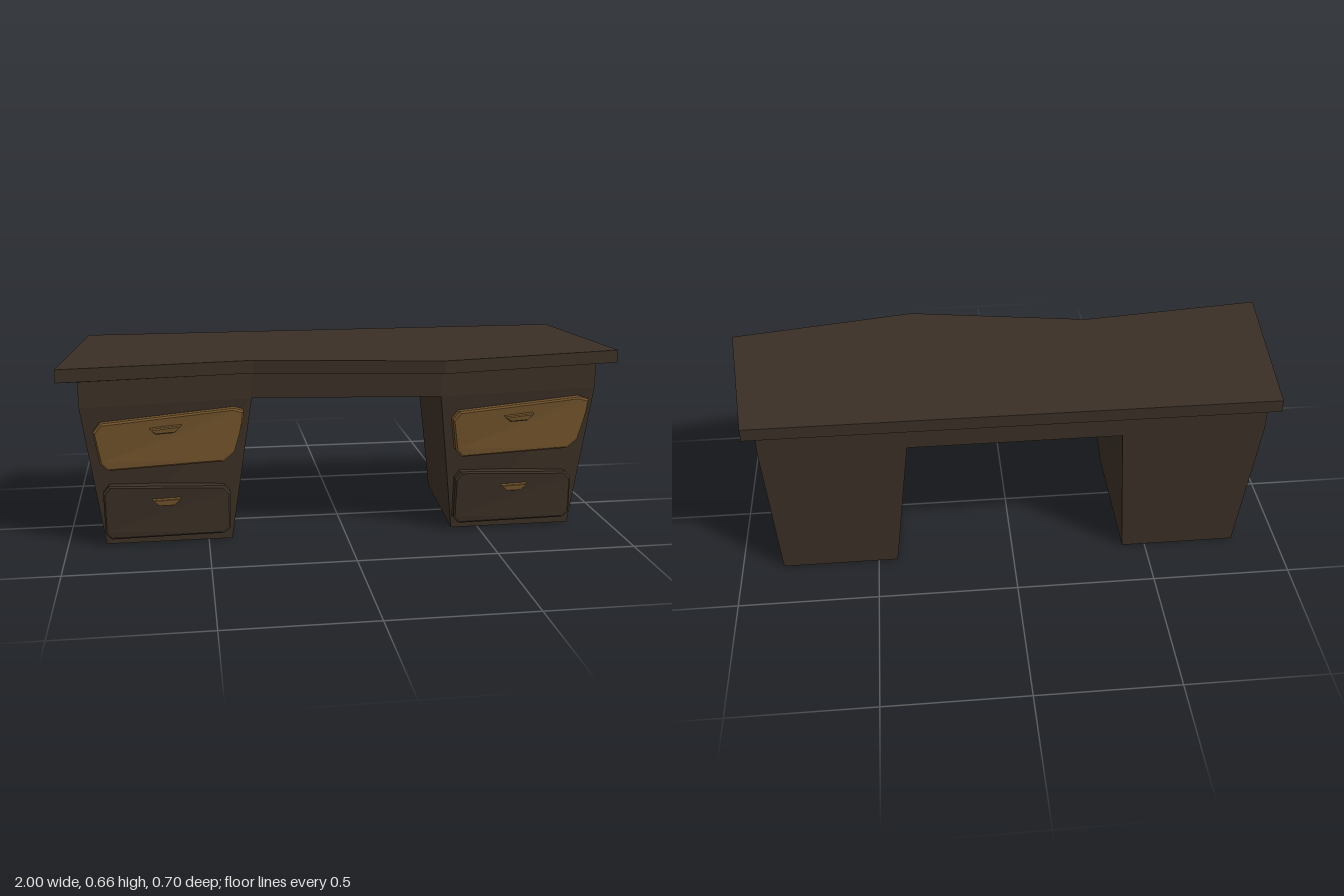
import * as THREE from 'three';

const wood = new THREE.MeshStandardMaterial({ color: 0x3a2f25 });
wood.name = 'dark wood';
const honey = new THREE.MeshStandardMaterial({ color: 0x70522b });
honey.name = 'honey wood';

// Flat-shaded solid through rings of equal length, each counter-clockwise seen from the last ring's end
function loft(name, rings, material) {
  const pos = [];
  const tri = (a, b, c) => pos.push(...a, ...b, ...c);
  const n = rings[0].length;
  for (let k = 0; k < rings.length - 1; k++) {
    const lo = rings[k], hi = rings[k + 1];
    for (let i = 0; i < n; i++) {
      const j = (i + 1) % n;
      tri(lo[i], lo[j], hi[j]);
      tri(lo[i], hi[j], hi[i]);
    }
  }
  const first = rings[0], last = rings[rings.length - 1];
  for (let i = 1; i < n - 1; i++) {
    tri(first[0], first[i + 1], first[i]);
    tri(last[0], last[i], last[i + 1]);
  }
  const geo = new THREE.BufferGeometry();
  geo.setAttribute('position', new THREE.Float32BufferAttribute(pos, 3));
  geo.computeVertexNormals();
  const mesh = new THREE.Mesh(geo, material);
  mesh.name = name;
  return mesh;
}

const level = (outline, y) => outline.map(([x, z]) => [x, y, z]);

// Depth of the slanted, twisted pedestal front at a point
const APRON_Y = 0.52;
function frontZ(x, y) {
  const t = y / APRON_Y;
  const inner = THREE.MathUtils.lerp(0.4, 0.335, t);
  const outer = THREE.MathUtils.lerp(0.85, 0.93, t);
  return 0.21 + 0.068 * t * (outer - x) / (outer - inner);
}

// Panel that follows the pedestal front between two depths, with a slightly smaller face
function panel(name, outline, from, to, inset, material) {
  const cx = outline.reduce((s, p) => s + p[0], 0) / outline.length;
  const cy = outline.reduce((s, p) => s + p[1], 0) / outline.length;
  const ring = (depth, shrink) => outline.map(([x, y]) => {
    const px = x - Math.sign(x - cx) * shrink, py = y - Math.sign(y - cy) * shrink;
    return [px, py, frontZ(x, y) + depth];
  });
  return loft(name, [ring(from, 0), ring(to - inset, 0), ring(to, inset)], material);
}

const upperDrawer = [[0.395, 0.318], [0.42, 0.29], [0.825, 0.3], [0.862, 0.33],
  [0.895, 0.44], [0.9, 0.482], [0.865, 0.493], [0.4, 0.464], [0.378, 0.435]];
const lowerDrawer = [[0.4, 0.05], [0.42, 0.026], [0.82, 0.03], [0.845, 0.05],
  [0.845, 0.185], [0.825, 0.209], [0.42, 0.231], [0.4, 0.205]];
const upperHandle = [[0.59, 0.42], [0.655, 0.422], [0.68, 0.447], [0.57, 0.44]];
const lowerHandle = [[0.595, 0.153], [0.645, 0.153], [0.67, 0.177], [0.57, 0.175]];

// Tapered drawer pedestal
function makePedestal(name) {
  const g = new THREE.Group();
  g.name = name;
  g.add(
    loft('pedestalBody', [
      level([[0.4, 0.21], [0.85, 0.21], [0.85, -0.31], [0.43, -0.31]], 0),
      level([[0.335, 0.278], [0.93, 0.21], [0.88, -0.31], [0.37, -0.31]], APRON_Y),
    ], wood),
    panel('upperDrawer', upperDrawer, -0.02, 0.03, 0.006, honey),
    panel('lowerDrawer', lowerDrawer, -0.02, 0.03, 0.006, wood),
    panel('upperHandle', upperHandle, 0.02, 0.052, 0.004, honey),
    panel('lowerHandle', lowerHandle, 0.02, 0.05, 0.002, honey),
  );
  return g;
}

export function createModel() {
  const desk = new THREE.Group();
  desk.name = 'desk';

  // Wavy-fronted top with a shallow sloping underside, above a solid apron
  const top = [[-0.33, 0.245], [0.33, 0.35], [1, 0.24], [0.92, -0.35], [-0.93, -0.35], [-1, 0.315]];
  const apron = [[-0.335, 0.21], [0.335, 0.278], [0.93, 0.21], [0.88, -0.31], [-0.895, -0.31], [-0.93, 0.278]];
  desk.add(loft('tableTop', [level(apron, 0.61), level(top, 0.617), level(top, 0.663)], wood));
  desk.add(loft('apron', [level(apron, APRON_Y), level(apron, 0.61)], wood));

  // The same pedestal stands at both ends
  const left = makePedestal('leftPedestal');
  const right = makePedestal('rightPedestal');
  right.position.x = -1.265;
  desk.add(left, right);
  return desk;
}
